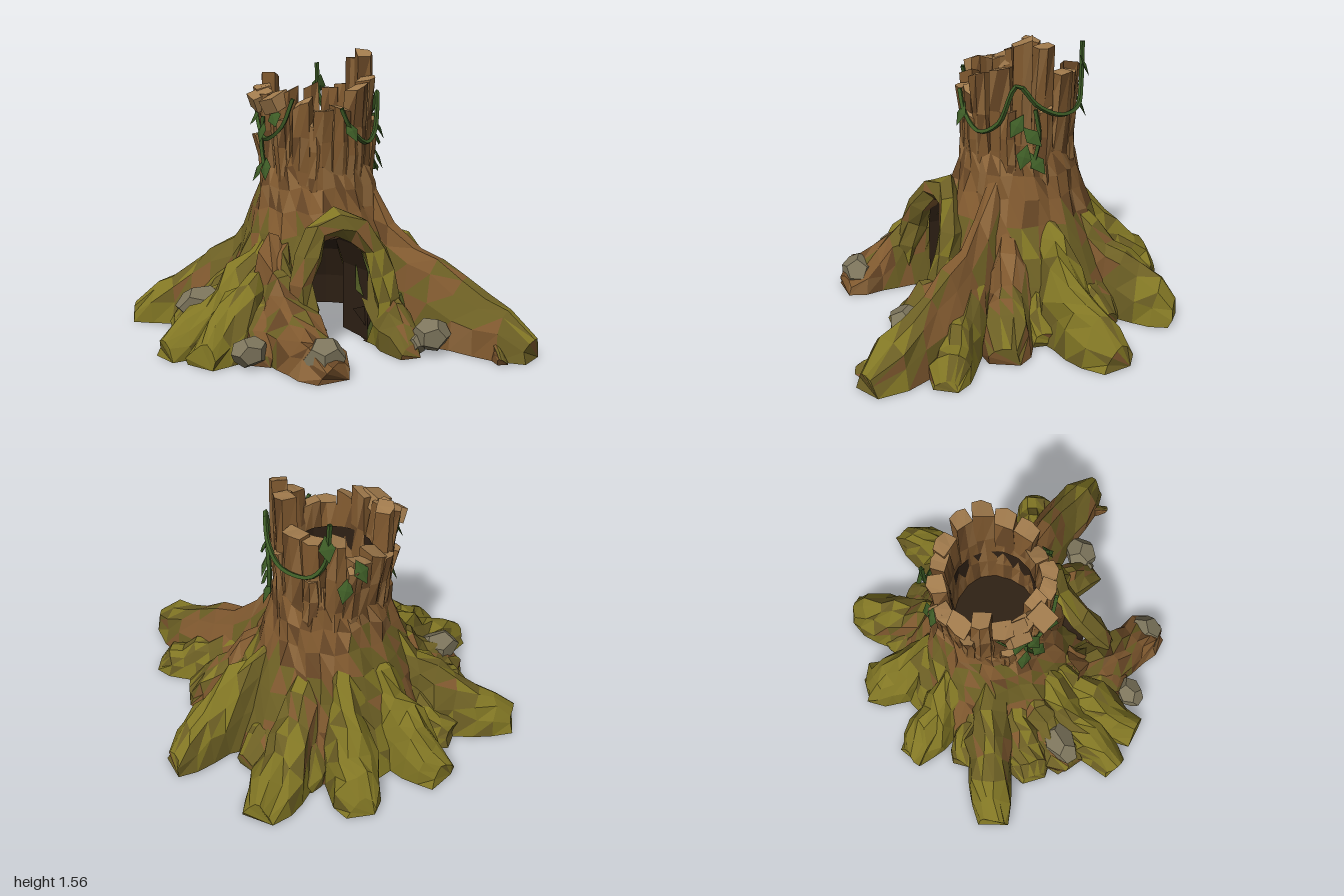
import * as THREE from 'three';

const mat = (color, side = THREE.FrontSide) =>
  new THREE.MeshStandardMaterial({ color, side, flatShading: true, roughness: 1 });
const M = {
  bark: mat(0x80592f), barkDark: mat(0x684726), barkLight: mat(0x8e673b), cut: mat(0xa07a4c),
  moss: mat(0x817624), olive: mat(0x6c5f24), ivy: mat(0x4a5420), stone: mat(0x7d755c),
  leaf: mat(0x3c5a25, THREE.DoubleSide), dark: mat(0x2f2115, THREE.DoubleSide),
};
const CZ = -0.16; // trunk axis in z
const rad = THREE.MathUtils.degToRad;
const hash = (a, b = 0, c = 0) => {
  const s = Math.sin(a * 127.1 + b * 311.7 + c * 74.7) * 43758.5453;
  return s - Math.floor(s);
};
const polar = (deg, r, y) => new THREE.Vector3(Math.sin(rad(deg)) * r, y, CZ + Math.cos(rad(deg)) * r);

// Arched mouth of the cave, and the hollow chamber behind it
const inMouth = c => c.z > 0 && c.z < 0.6 && ((c.x + 0.1) / 0.18) ** 2 + (Math.max(0, c.y - 0.35) / 0.26) ** 2 < 1;
const inChamber = c => Math.hypot(c.x, c.z - CZ) < 0.42 - 0.5 * Math.max(0, c.y - 0.15);

// Gentle lumps that leave the ground line flat
function roughen(geo, amount) {
  const p = geo.attributes.position;
  for (let i = 0; i < p.count; i++) {
    const x = p.getX(i), y = p.getY(i), z = p.getZ(i);
    if (y < 0.01) continue;
    p.setXYZ(i, x + amount * Math.sin(31 * y + 17 * z), Math.max(0.01, y + amount * Math.sin(27 * x + 23 * z)),
      z + amount * Math.sin(29 * x + 19 * y));
  }
  return geo;
}

// Sorts the faces of a geometry into one mesh per material; a null material drops the face
function paint(geo, name, rule) {
  const group = new THREE.Group();
  group.name = name;
  const src = geo.index ? geo.toNonIndexed() : geo;
  const p = src.attributes.position, sets = new Map(), tri = new THREE.Triangle();
  const c = new THREE.Vector3(), n = new THREE.Vector3();
  for (let i = 0; i < p.count; i += 3) {
    tri.setFromAttributeAndIndices(p, i, i + 1, i + 2);
    tri.getMidpoint(c);
    tri.getNormal(n);
    const m = rule(c, n);
    if (!m) continue;
    if (!sets.has(m)) sets.set(m, []);
    for (const v of [tri.a, tri.b, tri.c]) sets.get(m).push(v.x, v.y, v.z);
  }
  for (const [m, list] of sets) {
    const g = new THREE.BufferGeometry();
    g.setAttribute('position', new THREE.Float32BufferAttribute(list, 3));
    g.computeVertexNormals();
    const mesh = new THREE.Mesh(g, m);
    mesh.name = name;
    group.add(mesh);
  }
  return group;
}
const barkTone = c => [M.bark, M.bark, M.barkDark, M.barkLight][Math.floor(hash(c.x, c.y, c.z) * 4)];
const mossy = bias => (c, n) => {
  if (c.y < 0.004 && n.y < -0.5) return M.dark;
  const s = 0.5 * Math.sin(7 * c.x + 2) + 0.5 * Math.sin(6 * c.z + 5 * c.y) + n.y * 0.9 + bias
    + hash(c.x, c.y, c.z) * 1.1 - Math.max(0, c.y - 0.5) * 5;
  return s > 1.6 ? M.moss : s > 0.75 ? M.olive : barkTone(c);
};

// Buttress root: arched sections swept from the trunk to the tip
const HEIGHTS = [0.8, 0.64, 0.53, 0.45, 0.37, 0.3, 0.23, 0.11];
const WIDTHS = [0.8, 0.95, 1.08, 1.15, 1.08, 1.08, 0.97, 0.65];
function root({ tip, start, w = 0.12, h = 1, bias = 0.6, bend = 0, tone }) {
  const end = new THREE.Vector2(...tip);
  const from = start ? new THREE.Vector2(...start)
    : end.clone().sub(new THREE.Vector2(0, CZ)).setLength(0.26).add(new THREE.Vector2(0, CZ));
  const d = end.clone().sub(from).normalize(), side = new THREE.Vector2(d.y, -d.x);
  const K = 7, pos = [], idx = [], N = HEIGHTS.length;
  for (let i = 0; i < N; i++) {
    const t = i / (N - 1), mid = from.clone().lerp(end, t).addScaledVector(side, bend * Math.sin(Math.PI * t));
    const lump = 1 + 0.2 * (hash(tip[0], tip[1], i) - 0.5);
    for (let k = 0; k <= K; k++) {
      const a = Math.PI * k / K, o = Math.cos(a) * w * WIDTHS[i] * lump;
      pos.push(mid.x + side.x * o, k % K ? Math.pow(Math.sin(a), 0.85) * HEIGHTS[i] * h * lump : 0, mid.y + side.y * o);
    }
  }
  const at = (i, k) => i * (K + 1) + k;
  for (let i = 0; i < N - 1; i++) {
    for (let k = 0; k < K; k++)
      idx.push(at(i, k), at(i, k + 1), at(i + 1, k), at(i, k + 1), at(i + 1, k + 1), at(i + 1, k));
    idx.push(at(i, 0), at(i + 1, 0), at(i, K), at(i + 1, 0), at(i + 1, K), at(i, K));
  }
  for (let k = 1; k < K; k++) idx.push(at(N - 1, 0), at(N - 1, k), at(N - 1, k + 1));
  const g = new THREE.BufferGeometry();
  g.setAttribute('position', new THREE.Float32BufferAttribute(pos, 3));
  g.setIndex(idx);
  const rule = mossy(bias);
  return paint(roughen(g, 0.017), 'root', (c, n) =>
    inChamber(c) || (inMouth(c) && c.z < 0.33) ? null : tone && c.y > 0.004 ? tone : rule(c, n));
}

// Upright slab of broken wood standing on the trunk ring
function plank(deg, r, width, thick, bottom, top, seed) {
  const g = new THREE.BoxGeometry(width, 1, thick, 2, 3, 1), p = g.attributes.position;
  for (let i = 0; i < p.count; i++) {
    const x = p.getX(i), t = p.getY(i) + 0.5, z = p.getZ(i);
    const slope = t > 0.99 ? (hash(seed) - 0.5) * 0.9 * x + (hash(seed, 2) - 0.7) * 0.6 * z : 0;
    const y = bottom + (top - bottom) * t + slope;
    const lean = 0.04 * t * t * hash(seed, 3);
    const bow = x === 0 && z > 0 ? 0.015 : 0;
    p.setXYZ(i, x * (1 - 0.2 * t * hash(seed, 6)) + 0.03 * t * (hash(seed, 4) - 0.5), y, r + z + lean + bow);
  }
  g.rotateY(rad(deg)).translate(0, 0, CZ);
  return paint(roughen(g, 0.006), 'trunkPlank', (c, n) => (n.y > 0.6 ? M.cut : barkTone(c)));
}

export function createModel() {
  const model = new THREE.Group();
  const add = (geo, material, name) => {
    const mesh = new THREE.Mesh(geo, material);
    mesh.name = name;
    model.add(mesh);
    return mesh;
  };

  // Flared trunk base with the cave mouth left open
  const profile = [[0.62, 0], [0.58, 0.13], [0.52, 0.28], [0.46, 0.43], [0.4, 0.57], [0.355, 0.7], [0.325, 0.82], [0.3, 0.94], [0.27, 1.06]];
  const flare = new THREE.LatheGeometry(profile.map(q => new THREE.Vector2(...q)), 32);
  const fp = flare.attributes.position;
  for (let i = 0; i < fp.count; i++) {
    const s = 1 + 0.035 * Math.sin(11 * Math.atan2(fp.getX(i), fp.getZ(i)));
    fp.setXYZ(i, fp.getX(i) * s, fp.getY(i), fp.getZ(i) * s + CZ);
  }
  const flareRule = mossy(0.3);
  model.add(paint(roughen(flare, 0.012), 'trunkBase', (c, n) => (inMouth(c) ? null : flareRule(c, n))));

  // Underside: a ring left open at the cave mouth
  const arc = (r, t) => {
    const p = polar(7 + 326 * t, r, 0);
    return new THREE.Vector2(p.x, p.z);
  };
  const steps = Array.from({ length: 25 }, (_, i) => i / 24);
  const outline = [...steps.map(t => arc(0.6, t)), ...steps.map(t => arc(0.43, 1 - t))];
  add(new THREE.ShapeGeometry(new THREE.Shape(outline)).rotateX(Math.PI / 2), M.dark, 'underside');

  // Domed chamber and the short passage into it
  const dome = [[0.43, 0], [0.41, 0.18], [0.34, 0.36], [0.2, 0.52], [0.001, 0.58]].map(q => new THREE.Vector2(...q));
  model.add(paint(new THREE.LatheGeometry(dome, 20).translate(0, 0, CZ), 'caveChamber', c => (inMouth(c) ? null : M.dark)));
  const arch = new THREE.Shape();
  arch.moveTo(-0.28, 0).lineTo(0.08, 0).lineTo(0.08, 0.38).lineTo(0.03, 0.52).lineTo(-0.06, 0.6)
    .lineTo(-0.15, 0.6).lineTo(-0.24, 0.51).lineTo(-0.28, 0.38);
  const passage = new THREE.ExtrudeGeometry(arch, { depth: 0.27, bevelEnabled: false });
  model.add(paint(passage, 'cavePassage', (c, n) => (Math.abs(n.z) > 0.5 || n.y < -0.5 ? null : M.dark)));

  // Mossy lip over the cave mouth
  const lip = new THREE.CatmullRomCurve3([[-0.36, 0.1, 0.4], [-0.34, 0.4, 0.33], [-0.26, 0.58, 0.28], [-0.1, 0.66, 0.24],
    [0.05, 0.58, 0.27], [0.13, 0.4, 0.33], [0.14, 0.1, 0.4]].map(q => new THREE.Vector3(...q)));
  model.add(paint(roughen(new THREE.TubeGeometry(lip, 10, 0.07, 6), 0.015), 'caveLip', mossy(1.1)));

  // Roots
  [
    { tip: [-0.28, -0.95], w: 0.12, bias: 1.2 }, { tip: [0.22, -0.97], w: 0.125, bias: 1.2 },
    { tip: [0.71, -0.76], w: 0.13, bias: 1, bend: 0.03 }, { tip: [0.99, -0.23], w: 0.115, bend: -0.06 },
    { tip: [0.7, 0.26], w: 0.13, bias: -0.5 }, { tip: [0.63, 0.97], start: [0.2, 0.08], w: 0.125, bend: 0.03 },
    { tip: [0.78, 0.62], start: [0.3, 0.25], w: 0.1, h: 0.6 }, { tip: [0.46, 0.95], start: [0.58, 0.7], w: 0.04, h: 0.25 },
    { tip: [0.11, 0.65], start: [0.2, 0.05], w: 0.09, h: 0.78, bias: 0.2 },
    { tip: [-0.4, 0.76], start: [-0.4, 0.08], w: 0.125, h: 0.72, bias: 0.1, bend: -0.02 },
    { tip: [-0.88, 0.26], w: 0.12, h: 0.92 }, { tip: [-0.99, 0.05], w: 0.11, h: 0.88 },
    { tip: [-0.84, -0.18], w: 0.12, h: 0.9, bias: 0.2 }, { tip: [-0.88, -0.74], w: 0.13, bias: 1, bend: -0.03 },
    // Short ones in between
    { tip: [-0.5, -0.7], w: 0.11, h: 0.8, bias: 0.8 }, { tip: [0.44, -0.67], w: 0.11, h: 0.8, bias: 0.8 },
    { tip: [-0.02, -0.74], w: 0.11, h: 0.8, bias: 1 }, { tip: [0.64, -0.02], w: 0.12, h: 0.85 },
    { tip: [0.62, -0.42], w: 0.11, h: 0.8, bias: 0.8 }, { tip: [-0.79, -0.4], w: 0.12, h: 0.78, bias: 0.9 },
    { tip: [-0.62, 0.38], start: [-0.34, 0.1], w: 0.11, h: 0.75, bias: 0 },
    { tip: [0.32, 0.45], w: 0.1, h: 0.85, tone: M.ivy },
  ].forEach(r => model.add(root(r)));

  // Broken trunk: a ring of tall planks plus a few bark splinters outside
  const tops = [1.25, 1.36, 1.4, 1.54, 1.51, 1.36, 1.34, 1.35, 1.22, 1.23, 1.42, 1.36, 1.32, 1.34, 1.28, 1.24];
  tops.forEach((top, i) => model.add(plank(i * 22.5, 0.256, 0.115, 0.075, 0.72, top, i + 1)));
  for (let i = 0; i < 9; i++)
    model.add(plank(i * 40 + 12, 0.28, 0.08, 0.045, 0.74, 1.08 + 0.22 * hash(i, 9), i + 40));
  add(new THREE.CylinderGeometry(0.222, 0.235, 0.36, 16, 1, true).translate(0, 0.93, CZ), M.dark, 'hollowWall');
  add(new THREE.CircleGeometry(0.25, 16).rotateX(-Math.PI / 2).translate(0, 0.75, CZ), M.dark, 'hollowFloor');

  // Broken stubs leaning outwards on the right-hand rim
  [[-72, 1.28], [-100, 1.29]].forEach(([deg, y], i) => {
    const stub = add(new THREE.BoxGeometry(0.11, 0.08, 0.12), M.cut, 'brokenStub');
    stub.position.copy(polar(deg, 0.315, y));
    stub.rotation.set(0.4, rad(deg), 0.2 - 0.5 * i, 'YXZ');
  });

  // Stones resting among the roots: position, scale
  [[-0.4, 0.1, 0.67, 0.11, 0.1, 0.1], [0.25, 0.1, 0.62, 0.11, 0.09, 0.1], [-0.66, 0.08, 0.37, 0.1, 0.08, 0.08],
    [-0.7, 0.2, -0.17, 0.15, 0.1, 0.09], [0.17, 0.06, 0.6, 0.06, 0.06, 0.06]].forEach(([x, y, z, a, b, c]) => {
    const stone = add(new THREE.DodecahedronGeometry(1).rotateY(x * 9).scale(a, b, c), M.stone, 'stone');
    stone.position.set(x, y, z);
  });

  // Vines draped round the trunk: angle, height
  [
    [[-5, 1.25], [5, 1.14], [25, 1.06], [45, 1.12], [62, 1.33], [80, 1.22], [105, 1.15], [135, 1.16], [148, 1.25], [152, 1.48]],
    [[-50, 1.3], [-62, 1.15], [-85, 1.08], [-105, 1.18], [-118, 1.33]],
    [[-88, 1.2], [-92, 1.05], [-85, 0.9]], [[78, 1.2], [82, 1.05], [76, 0.88]],
  ].forEach(v => {
    const curve = new THREE.CatmullRomCurve3(v.map(([a, y]) => polar(a, 0.335, y)));
    add(new THREE.TubeGeometry(curve, v.length * 4, 0.013, 4), M.leaf, 'vine');
  });

  // Leaves: angle, height, tilt
  [[4, 1.13, 0.2], [62, 1.12, -0.5], [75, 1.06, 0.7], [80, 0.91, 0.5], [68, 0.95, -0.3], [-80, 0.92, 0.4], [-95, 0.9, -0.4],
    [-86, 1.12, 0.3], [-68, 1.2, 0.6], [-100, 1.2, -0.5], [178, 1.2, 0.3], [165, 1.1, -0.3], [150, 1.35, 0.2]].forEach(([a, y, tilt], i) => {
    const leaf = add(new THREE.OctahedronGeometry(1).scale(0.042, 0.07, 0.01), M.leaf, 'leaf');
    leaf.position.copy(polar(a, 0.35, y));
    leaf.rotation.set(-0.35 - 0.3 * hash(i, 5), rad(a), tilt, 'YXZ');
  });
  return model;
}
